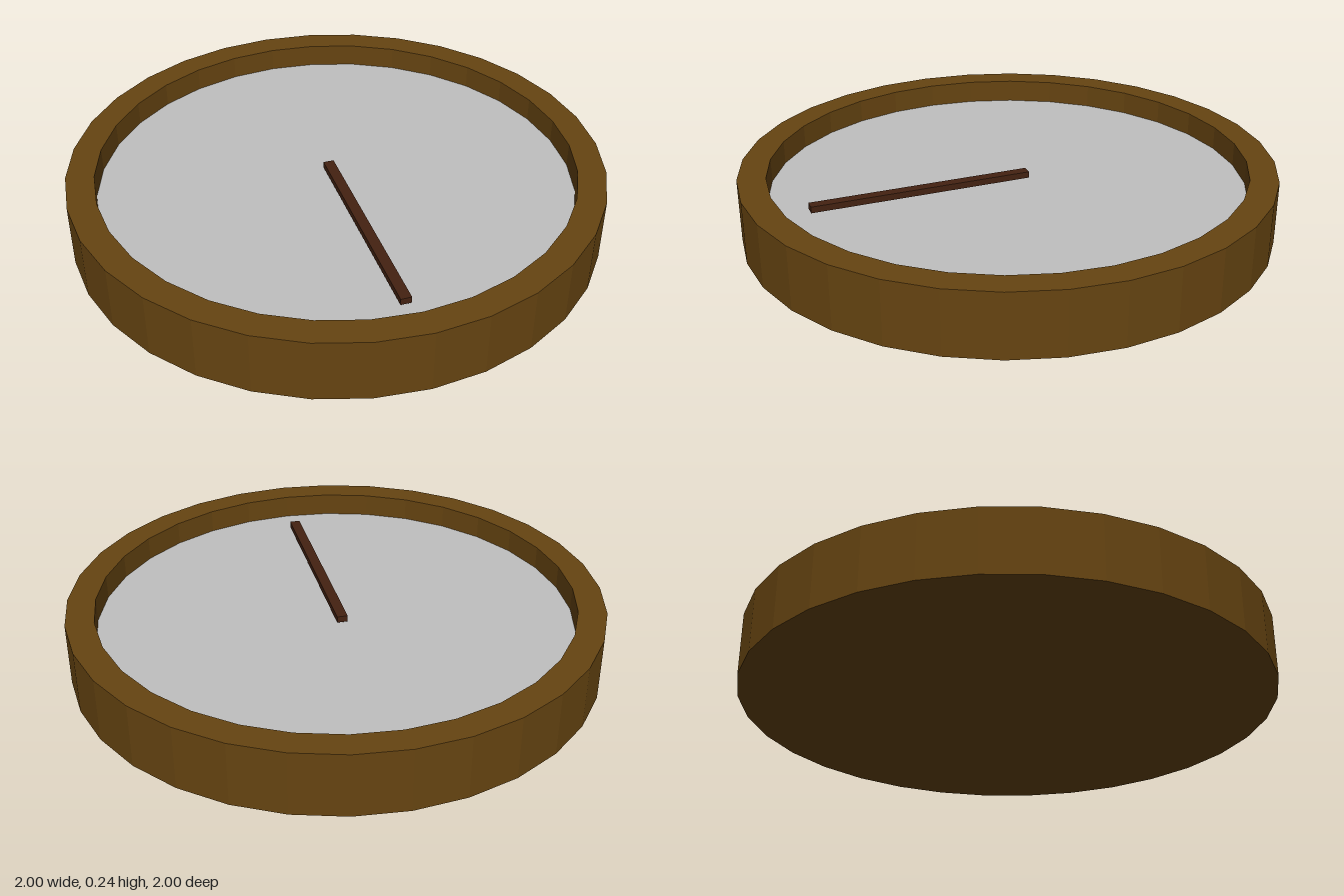
import * as THREE from 'three';

const SIDES = 32;

function material(name, color, extra = {}) {
  const m = new THREE.MeshStandardMaterial({ color, ...extra });
  m.name = name;
  return m;
}

export function createModel() {
  const wood = material('brown wood', 0x664411, { flatShading: true });
  const grey = material('light grey', 0xc0c0c0);
  const dark = material('dark brown', 0x442211);

  const model = new THREE.Group();
  model.name = 'dial';
  const add = (name, geometry, mat, x, y, z) => {
    const mesh = new THREE.Mesh(geometry, mat);
    mesh.name = name;
    mesh.position.set(x, y, z);
    model.add(mesh);
  };

  // Round case: closed base, outer wall, flat rim and inner wall
  const profile = [[0, 0], [1, 0], [1, 0.24], [0.895, 0.24], [0.895, 0.15]]
    .map(([r, y]) => new THREE.Vector2(r, y));
  add('case', new THREE.LatheGeometry(profile, SIDES), wood, 0, 0, 0);

  // Recessed face
  const face = new THREE.CircleGeometry(0.895, SIDES).rotateX(-Math.PI / 2);
  add('face', face, grey, 0, 0.15, 0);

  // Single hand reaching toward the front
  add('hand', new THREE.BoxGeometry(0.04, 0.024, 0.84), dark, -0.005, 0.174, 0.34);

  return model;
}
